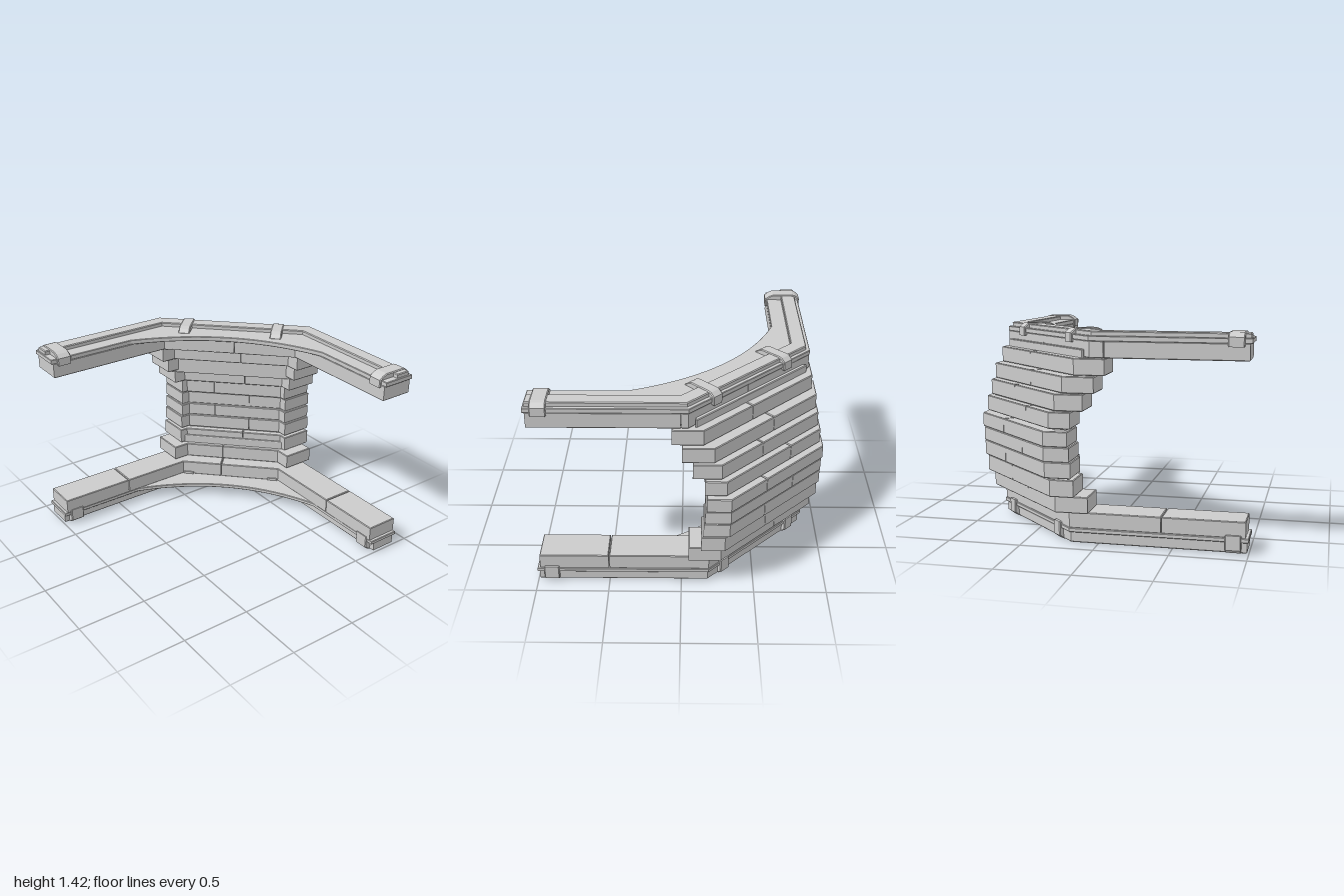
import * as THREE from 'three';

const material = new THREE.MeshStandardMaterial({ color: 0xcccccc, flatShading: true });
const TAN = Math.tan(Math.PI / 8);
const WALL = 0.24;

// Plan points are [x, z]; the whole corner is mirrored across the diagonal x = -z.
const flip = ([x, z]) => [-z, -x];
const mirrored = (points) => points.map(flip).reverse();

// Upright prism over a plan polygon, with slightly worn edges.
function prism(name, points, y0, y1, bevel = 0.005) {
  const shape = new THREE.Shape(points.map(([x, z]) => new THREE.Vector2(x, -z)));
  const geometry = new THREE.ExtrudeGeometry(shape, {
    depth: y1 - y0 - 2 * bevel, bevelEnabled: true, bevelSegments: 1,
    bevelSize: bevel, bevelOffset: -bevel, bevelThickness: bevel,
  });
  geometry.rotateX(-Math.PI / 2).translate(0, y0 + bevel, 0);
  const mesh = new THREE.Mesh(geometry, material);
  mesh.name = name;
  return mesh;
}

// Point on the diagonal: s runs along it, d is the distance term across it.
const diagonal = (s, d) => [(s + d) / 2, (s - d) / 2];

// Half of a wall band: from its free end, round the corner, to the joint at s.
const halfBand = (a, c, w, end, s) => [
  [end, -a], [c, -a], diagonal(s, a + c),
  diagonal(s, a + c - w * Math.SQRT2), [c - w * TAN, w - a], [end, w - a],
];

// Whole band following both arms and the diagonal.
function fullBand(a, c, w, end) {
  const outer = [[end, -a], [c, -a]];
  const inner = [[c - w * TAN, w - a], [end, w - a]];
  return [...outer, ...mirrored(outer), ...mirrored(inner), ...inner];
}

// One course: two bent corner bricks, plus straight arm bricks when it has arms.
function course({ y, a, c, end, f, arms }) {
  const group = new THREE.Group();
  group.name = 'brickCourse';
  const s = (2 * f - 1) * 0.55;
  const gap = 0.003;
  const [left, right] = arms || [end, end];
  group.add(prism('cornerBrick', halfBand(a, c, WALL, left + (arms ? gap : 0), s - gap), ...y));
  group.add(prism('cornerBrick', mirrored(halfBand(a, c, WALL, right + (arms ? gap : 0), -s - gap)), ...y));
  if (arms) {
    const arm = (joint) => [[end, -a], [joint - gap, -a], [joint - gap, WALL - a], [end, WALL - a]];
    group.add(prism('armBrick', arm(left), ...y));
    group.add(prism('armBrick', mirrored(arm(right)), ...y));
  }
  return group;
}

// Curved plate bridging the arms on the inside of the corner.
function plateOutline(a, c) {
  const curve = new THREE.QuadraticBezierCurve(
    new THREE.Vector2(0.65, 0.35), new THREE.Vector2(0.39, -0.39), new THREE.Vector2(-0.35, -0.65));
  const outer = [[-1, -a], [c, -a]];
  return [...outer, ...mirrored(outer), [0.65, 1],
    ...curve.getPoints(18).map((p) => [p.x, p.y]), [-1, -0.65]];
}

// Saddle clip: chamfered section across the band, extruded along it.
// 'up' is +1 for the top plate and -1 for the bottom one.
function clip(width, length, base, tip, up) {
  const h = width / 2;
  const shape = new THREE.Shape([
    [-h, base], [h, base], [h, tip - 0.03 * up], [h - 0.03, tip - 0.006 * up],
    [h - 0.05, tip], [-h + 0.06, tip], [-h + 0.03, tip - 0.012 * up], [-h, tip - 0.035 * up],
  ].map(([x, y]) => new THREE.Vector2(x, y)));
  const b = 0.006;
  const geometry = new THREE.ExtrudeGeometry(shape, {
    depth: length - 2 * b, bevelEnabled: true, bevelSegments: 1,
    bevelSize: b, bevelOffset: -b, bevelThickness: b,
  });
  geometry.translate(0, 0, -length / 2 + b);
  const mesh = new THREE.Mesh(geometry, material);
  mesh.name = 'clip';
  return mesh;
}

// Plate, raised ridge and four clips, used at the top and the bottom.
function trim({ name, plate, ridge, clipY, a, c, ridgeA, ridgeW, up }) {
  const group = new THREE.Group();
  group.name = name;
  group.add(prism('curvedPlate', plateOutline(a, c), ...plate, 0.004));
  group.add(prism('ridge', fullBand(ridgeA, c - (a - ridgeA) * TAN, ridgeW, -0.99), ...ridge, 0.006));
  const place = (mesh, [x, z], angle) => {
    mesh.position.set(x, 0, z);
    mesh.rotation.y = angle;
    group.add(mesh);
  };
  // End clips on the two arms
  const endAt = [-0.9, -0.77];
  place(clip(0.265, 0.105, ...clipY, up), endAt, Math.PI / 2);
  place(clip(0.265, 0.105, ...clipY, up), flip(endAt), 0);
  // Clips near both ends of the diagonal
  const mid = a + c - 0.12 * Math.SQRT2;
  for (const s of [-0.49, 0.49]) {
    place(clip(0.268, 0.085, ...clipY, up), diagonal(s, mid), Math.PI / 4);
  }
  return group;
}

export function createModel() {
  const model = new THREE.Group();
  model.name = 'curvedCornerWall';

  // Courses from bottom to top: height range, outer face, corner, free end, joint
  const courses = [
    { y: [0.11, 0.22], a: 0.885, c: 0.19, end: -0.98, f: 0.4, arms: [-0.43, -0.5] },
    { y: [0.225, 0.337], a: 0.94, c: 0.27, end: 0.05, f: 0.4 },
    { y: [0.339, 0.455], a: 0.98, c: 0.295, end: 0.135, f: 0.6 },
    { y: [0.465, 0.572], a: 0.99, c: 0.325, end: 0.15, f: 0.66 },
    { y: [0.573, 0.672], a: 0.992, c: 0.33, end: 0.16, f: 0.3 },
    { y: [0.675, 0.777], a: 1.0, c: 0.33, end: 0.168, f: 0.66 },
    { y: [0.79, 0.9], a: 0.975, c: 0.3, end: 0.155, f: 0.3 },
    { y: [0.905, 1.016], a: 0.955, c: 0.265, end: 0.075, f: 0.62 },
    { y: [1.02, 1.13], a: 0.94, c: 0.215, end: 0.005, f: 0.42 },
    { y: [1.134, 1.245], a: 0.91, c: 0.145, end: -0.06, f: 0.6 },
    { y: [1.247, 1.358], a: 0.89, c: 0.045, end: -0.985, f: 0.55, arms: [-0.05, 0.0] },
  ];
  courses.forEach((row) => model.add(course(row)));

  // Mortar core closing the narrow gaps between courses
  model.add(prism('core', fullBand(0.875, 0.18, 0.1, 0.17), 0.15, 0.4));
  model.add(prism('core', fullBand(0.93, 0.27, 0.14, 0.19), 0.4, 1.0));
  model.add(prism('core', fullBand(0.87, 0.1, 0.12, 0.09), 1.0, 1.3));

  model.add(trim({
    name: 'bottomTrim', plate: [0.083, 0.112], ridge: [0.01, 0.09], clipY: [0.13, 0.003],
    a: 0.892, c: 0.19, ridgeA: 0.875, ridgeW: 0.19, up: -1,
  }));
  model.add(trim({
    name: 'topTrim', plate: [1.355, 1.39], ridge: [1.38, 1.42], clipY: [1.335, 1.427],
    a: 0.892, c: 0.05, ridgeA: 0.865, ridgeW: 0.105, up: 1,
  }));
  return model;
}
